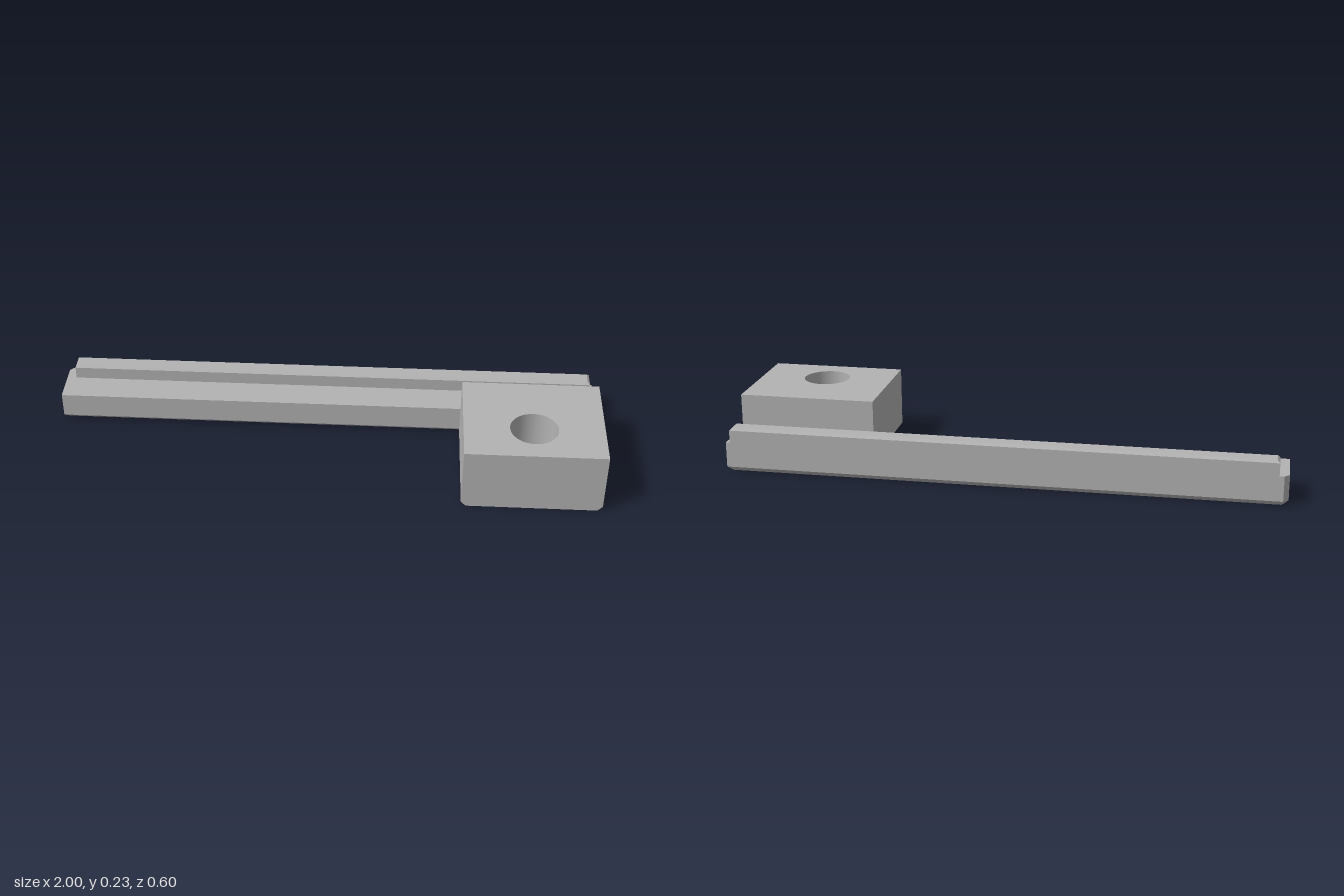
import * as THREE from 'three';

const CHAMFER = 0.018;
const BAR_TOP = 0.11, BLOCK_TOP = 0.235, BORE_FLOOR = 0.04;
const HOLE = { x: 0.75, z: 0.145, bore: 0.086, pin: 0.018 };

// Outlines are counter-clockwise [x, back] pairs, where back = -z.

// Walls between stacked outlines with equal point counts.
function walls(levels) {
  const pos = [];
  for (let k = 0; k < levels.length - 1; k++) {
    const [lo, y0] = levels[k], [hi, y1] = levels[k + 1];
    for (let i = 0; i < lo.length; i++) {
      const j = (i + 1) % lo.length;
      const a = [lo[i][0], y0, -lo[i][1]], b = [lo[j][0], y0, -lo[j][1]];
      const c = [hi[j][0], y1, -hi[j][1]], d = [hi[i][0], y1, -hi[i][1]];
      pos.push(...a, ...b, ...c, ...a, ...c, ...d);
    }
  }
  const g = new THREE.BufferGeometry();
  g.setAttribute('position', new THREE.Float32BufferAttribute(pos, 3));
  g.computeVertexNormals();
  return g;
}

// Flat horizontal face, optionally pierced by the hole and facing down.
function cap(outline, y, holeRadius = 0, down = false) {
  const shape = new THREE.Shape(outline.map(([x, s]) => new THREE.Vector2(x, down ? -s : s)));
  if (holeRadius) {
    const path = new THREE.Path();
    path.absarc(HOLE.x, down ? HOLE.z : -HOLE.z, holeRadius, 0, Math.PI * 2, true);
    shape.holes.push(path);
  }
  return new THREE.ShapeGeometry(shape, 24)
    .rotateX(down ? Math.PI / 2 : -Math.PI / 2)
    .translate(0, y, 0);
}

const rect = (x0, x1, s0, s1) => [[x0, s0], [x1, s0], [x1, s1], [x0, s1]];

export function createModel() {
  const model = new THREE.Group();
  const grey = new THREE.MeshStandardMaterial({ color: 0xb3b3b3 });
  grey.name = 'grey';
  const greyInside = new THREE.MeshStandardMaterial({ color: 0xb3b3b3, side: THREE.DoubleSide });
  greyInside.name = 'grey inside';

  const add = (name, geometry, material = grey) => {
    const mesh = new THREE.Mesh(geometry, material);
    mesh.name = name;
    model.add(mesh);
    return mesh;
  };

  // L-shaped base with a bevelled underside; the block's front edge stays square
  const c = CHAMFER;
  const base = [[0.5, -0.3], [1, -0.3], [1, 0.3], [-1 + c, 0.3], [-1, 0.3 - c], [-1, 0.12], [0.5, 0.12]];
  const foot = [[0.5 + c, -0.3], [1 - c, -0.3], [1 - c, 0.3 - c], [-0.975, 0.3 - c],
    [-1 + c, 0.275], [-1 + c, 0.12 + c], [0.5 + c, 0.12 + c]];
  add('baseWalls', walls([[foot, 0], [base, c], [base, BAR_TOP]]));
  add('baseUnderside', cap(foot, 0, HOLE.pin, true));
  add('barTop', cap([[-1, 0.12], [1, 0.12], [1, 0.3], [-1 + c, 0.3], [-1, 0.3 - c]], BAR_TOP));

  // Raised block at the left end
  const block = rect(0.5, 1, -0.3, 0.12);
  add('blockWalls', walls([[block, BAR_TOP], [block, BLOCK_TOP]]));
  add('blockTop', cap(block, BLOCK_TOP, HOLE.bore));

  // Stepped hole: wide bore, floor and narrow pin hole
  const tube = (name, r, y0, y1) => add(name,
    new THREE.CylinderGeometry(r, r, y1 - y0, 48, 1, true)
      .translate(HOLE.x, (y0 + y1) / 2, HOLE.z), greyInside);
  tube('boreWall', HOLE.bore, BORE_FLOOR, BLOCK_TOP);
  tube('pinHoleWall', HOLE.pin, 0, BORE_FLOOR);
  add('boreFloor', new THREE.RingGeometry(HOLE.pin, HOLE.bore, 48)
    .rotateX(-Math.PI / 2).translate(HOLE.x, BORE_FLOOR, HOLE.z));

  // Rail along the back edge with a bevelled top
  const rail = rect(-0.965, 0.985, 0.235, 0.3);
  const b = 0.009;
  const crest = rect(-0.965 + b, 0.985 - b, 0.235 + b, 0.3 - b);
  add('railWalls', walls([[rail, BAR_TOP], [rail, 0.156], [crest, 0.165]]));
  add('railTop', cap(crest, 0.165));

  return model;
}
